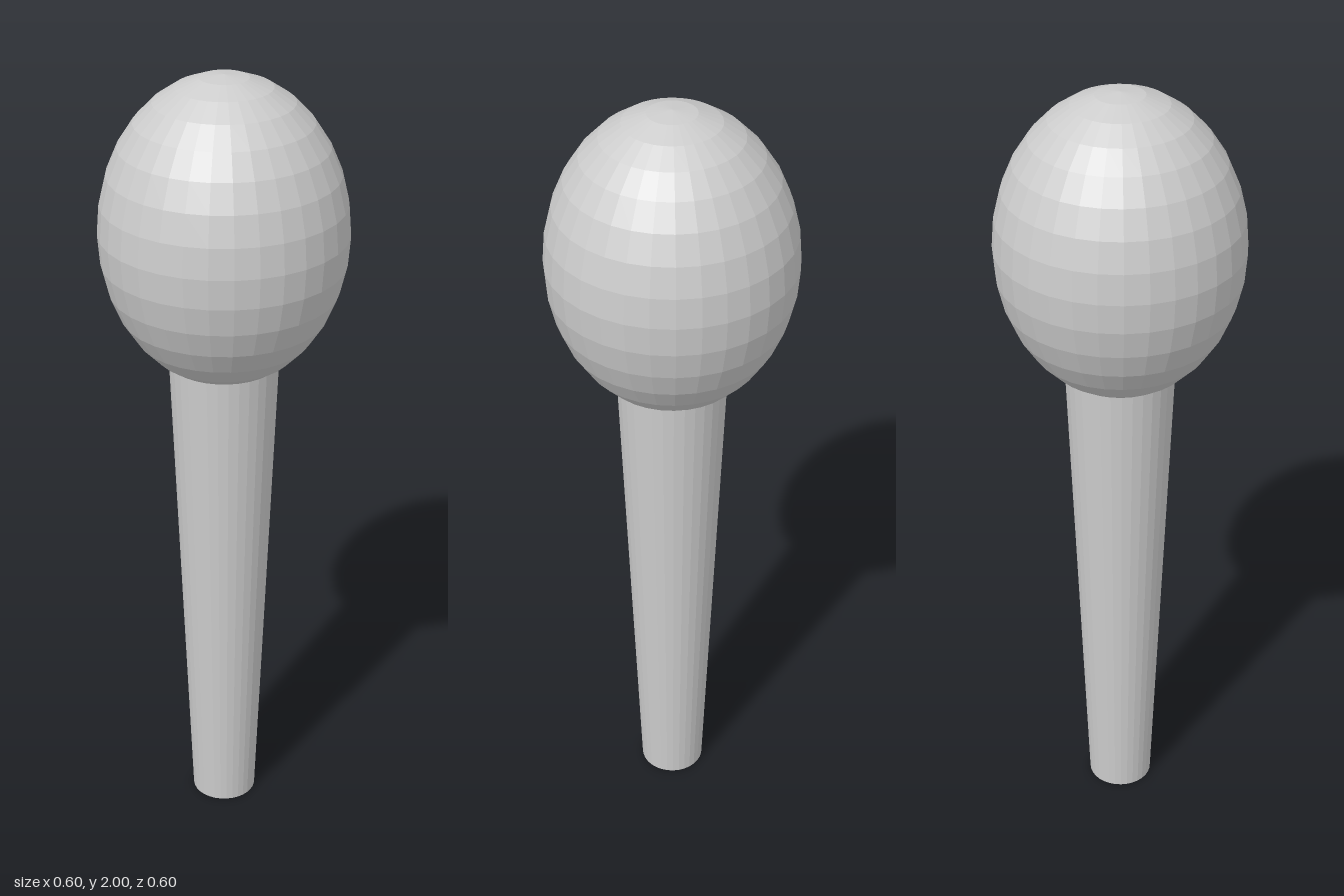
import * as THREE from 'three';

export function createModel() {
  const model = new THREE.Group();
  const lightGrey = new THREE.MeshStandardMaterial({ color: 0xcccccc, flatShading: true });
  lightGrey.name = 'light grey';

  const add = (name, geometry, y) => {
    const mesh = new THREE.Mesh(geometry, lightGrey);
    mesh.name = name;
    mesh.position.y = y;
    model.add(mesh);
  };

  // Egg-shaped head: a sphere stretched upwards
  const headRadius = 0.3, headHalfHeight = 0.38;
  const head = new THREE.SphereGeometry(headRadius, 32, 16);
  head.scale(1, headHalfHeight / headRadius, 1);
  add('head', head, 2 - headHalfHeight);

  // Handle, narrowing towards the foot
  const handleHeight = 1.285;
  add('handle', new THREE.CylinderGeometry(0.135, 0.083, handleHeight, 32), handleHeight / 2);

  return model;
}
